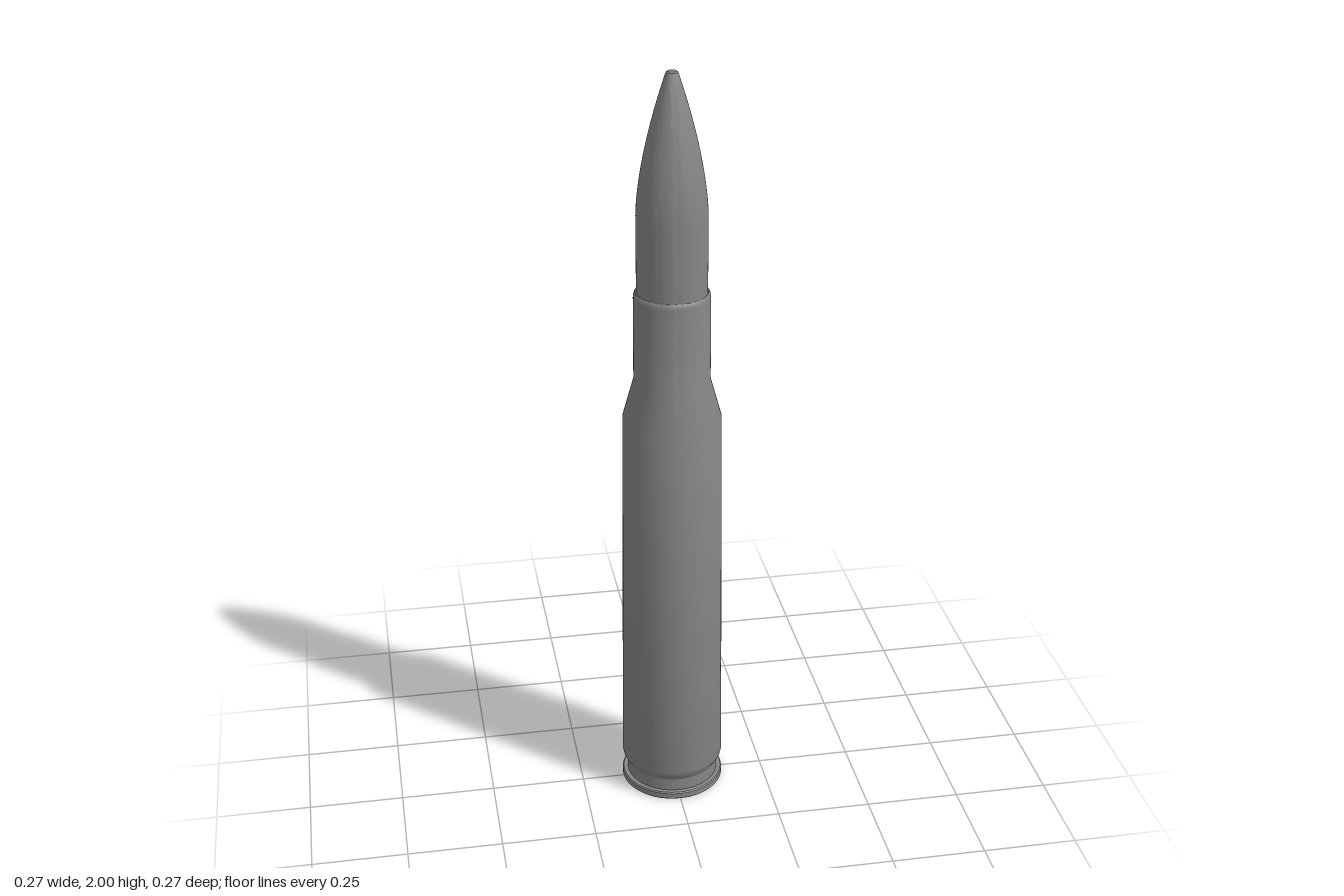
import * as THREE from 'three';
import { toCreasedNormals } from 'three/addons/utils/BufferGeometryUtils.js';

// Surface of revolution from [radius, height] pairs, bottom to top
function turned(name, profile, material) {
  const points = profile.map(([r, y]) => new THREE.Vector2(r, y));
  const geometry = toCreasedNormals(new THREE.LatheGeometry(points, 64), 0.5);
  const mesh = new THREE.Mesh(geometry, material);
  mesh.name = name;
  return mesh;
}

export function createModel() {
  const model = new THREE.Group();
  model.name = 'cartridge';
  const darkGrey = new THREE.MeshStandardMaterial({ color: 0x868686 });

  // Case: rim, extractor groove, tapered body, shoulder, neck and rolled mouth
  model.add(turned('case', [
    [0, 0], [0.134, 0], [0.137, 0.003], [0.137, 0.018], [0.134, 0.021],
    [0.123, 0.021], [0.123, 0.056],
    [0.134, 0.075], [0.1365, 0.086],
    [0.127, 1.1],
    [0.098, 1.205],
    [0.0975, 1.425], [0.0965, 1.434], [0.0945, 1.44], [0.092, 1.443],
    [0.0915, 1.443], [0.0915, 1.4],
  ], darkGrey));

  // Bullet: cylindrical shank, curved ogive and small blunt tip
  const profile = [[0.0895, 1.4], [0.0895, 1.64]];
  const steps = 16;
  for (let i = 1; i <= steps; i++) {
    const t = i / steps;
    profile.push([0.0895 - 0.072 * t ** 1.6, 1.64 + 0.35 * t]);
  }
  profile.push([0.015, 1.997], [0.011, 2], [0, 2]);
  model.add(turned('bullet', profile, darkGrey));

  return model;
}
